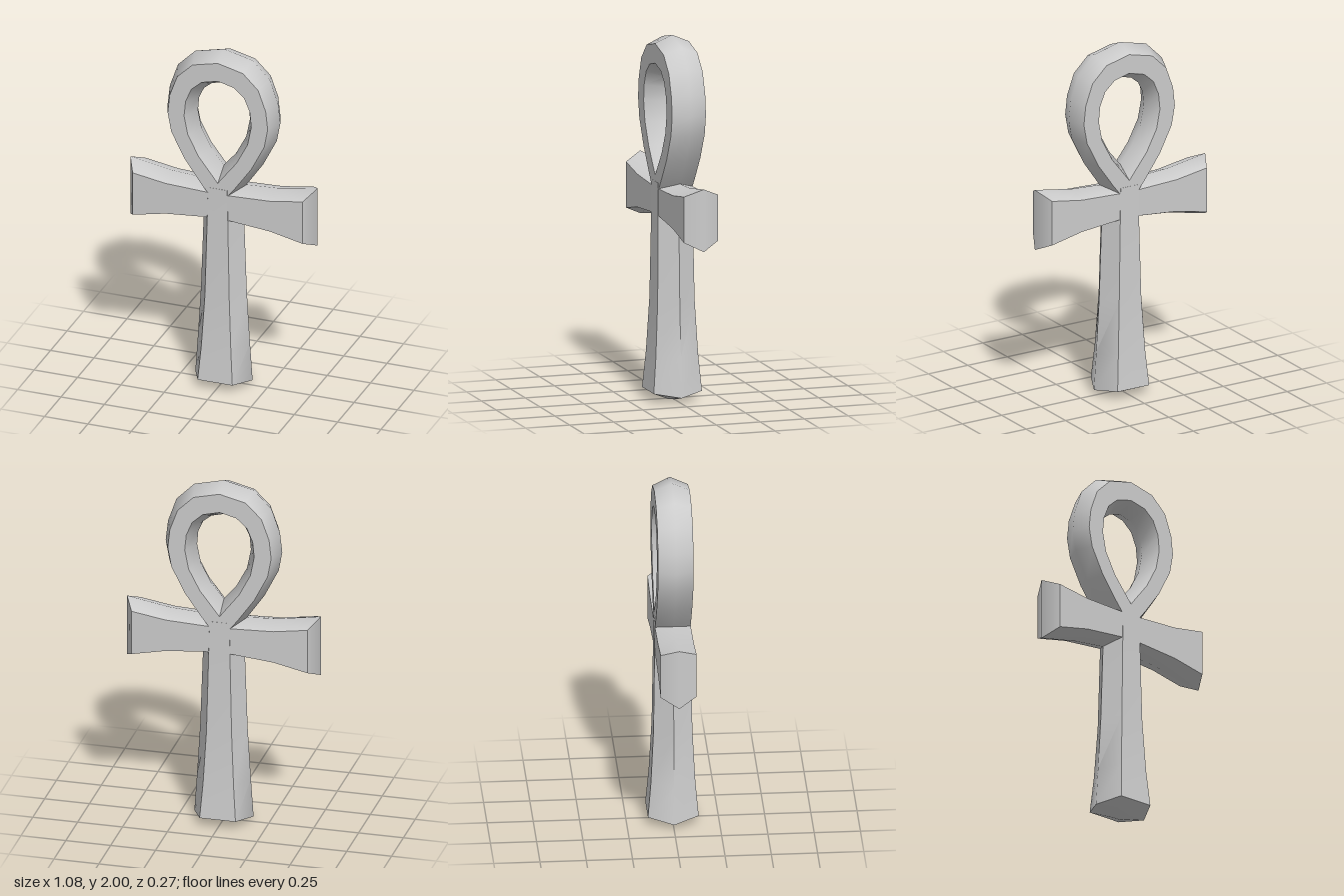
import * as THREE from 'three';
import { toCreasedNormals } from 'three/addons/utils/BufferGeometryUtils.js';

// Six-sided cross-section: ridges A and B lie on z = 0, edges a and b frame the flat faces at +-z
const section = (A, a, b, B, z) => [
  [...A, 0], [...a, z], [...b, z], [...B, 0], [...b, -z], [...a, -z],
];

// Skin a row of six-sided sections and close both ends
function loft(name, rings, material) {
  const index = [];
  for (let i = 0; i < rings.length - 1; i++) {
    for (let j = 0; j < 6; j++) {
      const p = i * 6 + j, q = i * 6 + (j + 1) % 6;
      index.push(p, q, q + 6, p, q + 6, p + 6);
    }
  }
  const end = (rings.length - 1) * 6;
  for (let j = 1; j < 5; j++) {
    index.push(0, j + 1, j);
    index.push(end, end + j, end + j + 1);
  }
  const geometry = new THREE.BufferGeometry();
  geometry.setAttribute('position', new THREE.Float32BufferAttribute(rings.flat(2), 3));
  geometry.setIndex(index);
  const mesh = new THREE.Mesh(toCreasedNormals(geometry, 1.0), material);
  mesh.name = name;
  return mesh;
}

export function createModel() {
  const group = new THREE.Group();
  group.name = 'loopedCross';
  const stone = new THREE.MeshStandardMaterial({ color: 0xcccccc });
  stone.name = 'paleGrey';

  // Stem, top to bottom: [y, ridge half width, flat half width, half depth, y of flat edge]
  const stem = [
    [1.2, 0.11, 0.055, 0.097, 1.2],
    [0.98, 0.117, 0.06, 0.099, 0.98],
    [0.55, 0.132, 0.07, 0.105, 0.55],
    [0.25, 0.15, 0.085, 0.12, 0.25],
    [0.03, 0.165, 0.1, 0.137, 0.05],
    [0, 0.04, 0.025, 0.025, 0],
  ].map(([y, w, f, z, fy]) => section([w, y], [f, fy], [-f, fy], [-w, y], z));
  group.add(loft('stem', stem, stone));

  // Crossbar, right half mirrored: [ridge x, flat x, top, flat top, flat bottom, bottom]
  const half = [
    [0.06, 0.06, 1.2, 1.17, 1.02, 0.988],
    [0.3, 0.3, 1.215, 1.18, 0.998, 0.96],
    [0.54, 0.49, 1.255, 1.21, 0.957, 0.91],
  ];
  const mirrored = half.map(([x, fx, ...rest]) => [-x, -fx, ...rest]).reverse();
  const bar = [...mirrored, ...half].map(([x, fx, T, t, b, B]) =>
    section([x, T], [fx, t], [fx, b], [x, B], 0.097));
  group.add(loft('crossbar', bar, stone));

  // Loop, from the crossing up to the crown: [outer x, outer y, inner x, inner y]
  const leg = [
    [0.04, 1.09, -0.075, 1.2],
    [0.127, 1.2, 0, 1.3],
    [0.227, 1.345, 0.07, 1.385],
    [0.305, 1.5, 0.128, 1.495],
    [0.325, 1.61, 0.15, 1.605],
    [0.312, 1.725, 0.143, 1.685],
    [0.265, 1.86, 0.115, 1.745],
    [0.165, 1.96, 0.07, 1.782],
  ];
  const left = leg.map(([ox, oy, ix, iy]) => [-ox, oy, -ix, iy]);
  const path = [...left, [0, 2, 0, 1.8], ...leg.reverse()];
  const loop = path.map(([ox, oy, ix, iy]) => {
    const mix = (t) => [ox + (ix - ox) * t, oy + (iy - oy) * t];
    return section(mix(0), mix(0.21), mix(0.75), mix(1), 0.096);
  });
  group.add(loft('loop', loop, stone));

  return group;
}
